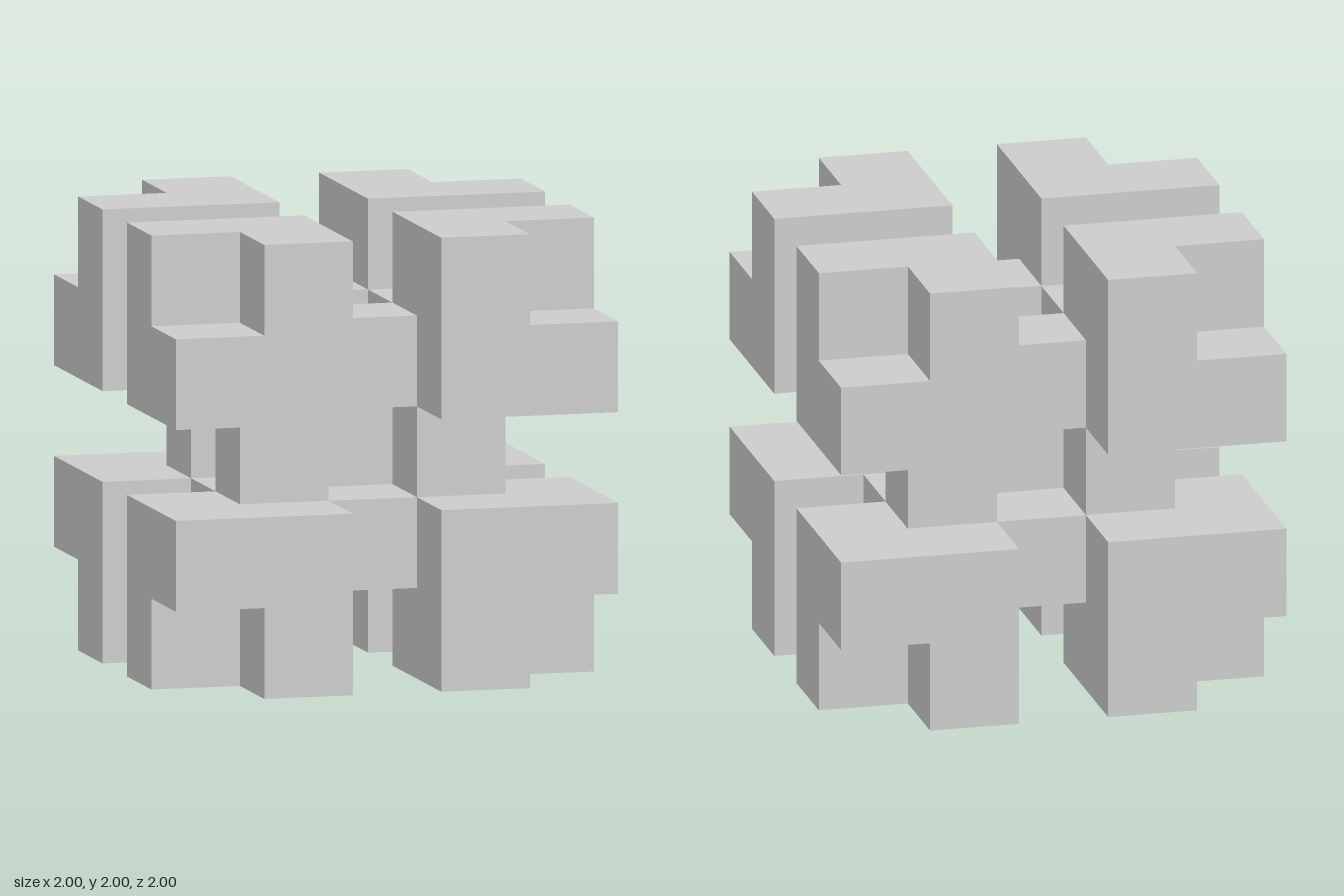
import * as THREE from 'three';
import { mergeGeometries } from 'three/addons/utils/BufferGeometryUtils.js';

const CELL = 0.4; // the model is a 5 x 5 x 5 lattice of cells, indexed -2..2

// Which part a lattice cell belongs to, or null where it is empty
function partAt(x, y, z) {
  const a = [x, y, z].map(Math.abs);
  const zeros = a.filter((v) => v === 0).length;
  const largest = Math.max(...a);
  if (largest > 2) return null;
  if (zeros === 0) return Math.min(...a) === 2 ? null : 'cornerBlock'; // notched at the tip
  if (zeros === 1 && largest === 1) return 'connector';
  return zeros === 3 ? 'core' : null;
}

// Outward direction of each cell side, with the turn that makes a plane face it
const H = Math.PI / 2;
const SIDES = [
  [[0, 0, 1], 0, 0], [[0, 0, -1], 0, 2 * H],
  [[1, 0, 0], 0, H], [[-1, 0, 0], 0, -H],
  [[0, 1, 0], -H, 0], [[0, -1, 0], H, 0],
];

// Only the exposed sides of a cell
function cellFaces([x, y, z]) {
  return SIDES.filter(([d]) => !partAt(x + d[0], y + d[1], z + d[2])).map(([d, rx, ry]) =>
    new THREE.PlaneGeometry(CELL, CELL)
      .rotateX(rx)
      .rotateY(ry)
      .translate(
        (x + d[0] / 2) * CELL,
        (y + d[1] / 2) * CELL + 1,
        (z + d[2] / 2) * CELL
      ));
}

export function createModel() {
  const model = new THREE.Group();
  model.name = 'blockLattice';
  const material = new THREE.MeshStandardMaterial({ color: 0xcccccc, flatShading: true });

  // Gather cells into eight corner blocks, twelve connectors and one core
  const parts = new Map();
  for (let x = -2; x <= 2; x++)
    for (let y = -2; y <= 2; y++)
      for (let z = -2; z <= 2; z++) {
        const part = partAt(x, y, z);
        if (!part) continue;
        const key = [part, Math.sign(x), Math.sign(y), Math.sign(z)].join();
        if (!parts.has(key)) parts.set(key, { part, faces: [] });
        parts.get(key).faces.push(...cellFaces([x, y, z]));
      }

  for (const { part, faces } of parts.values()) {
    const mesh = new THREE.Mesh(mergeGeometries(faces), material);
    mesh.name = part;
    model.add(mesh);
  }
  return model;
}
